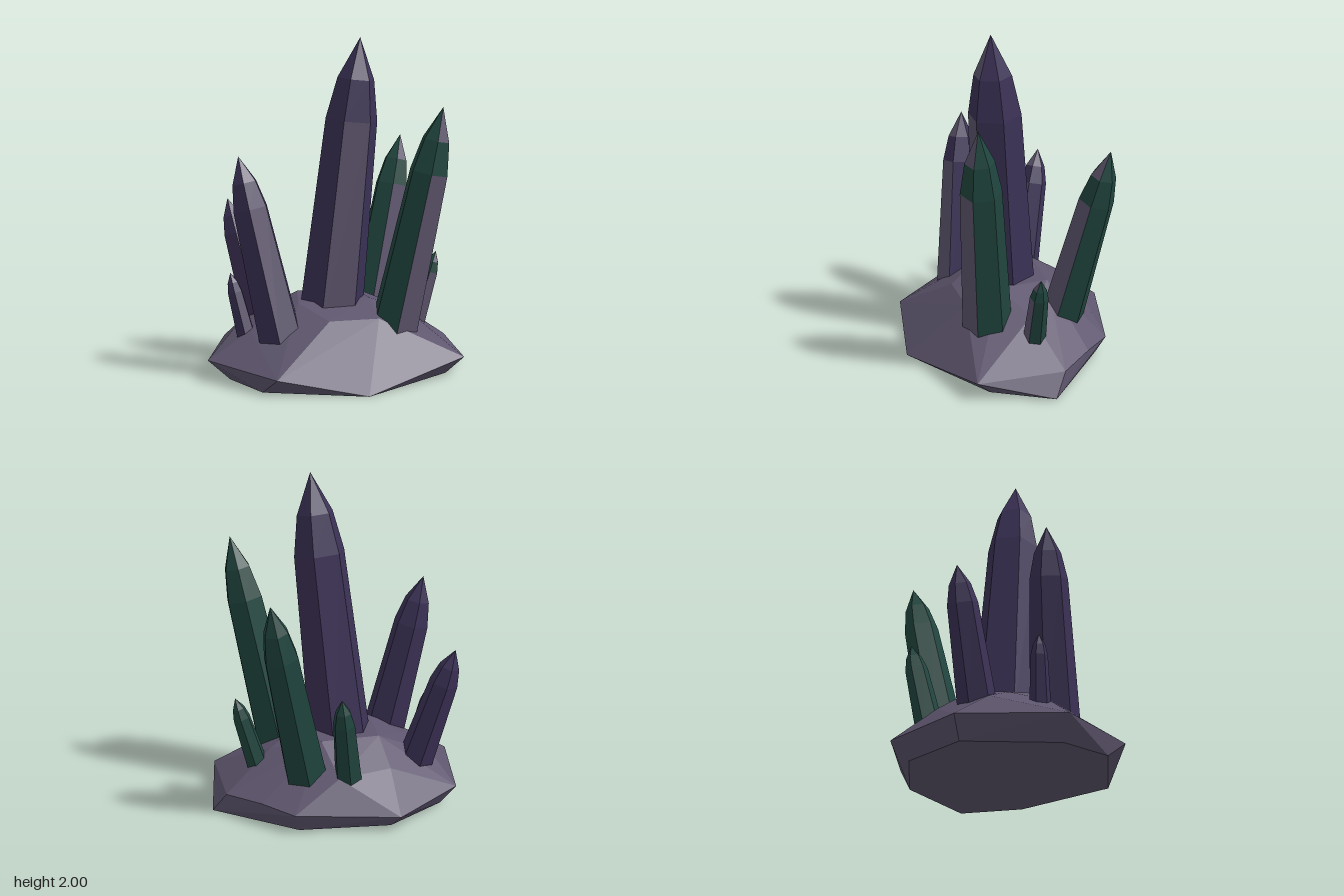
import * as THREE from 'three';
import { ConvexGeometry } from 'three/addons/geometries/ConvexGeometry.js';

const material = (color) => new THREE.MeshStandardMaterial({ color, flatShading: true });
const rockMat = material(0x5e566e);
const purpleMat = material(0x3c3257);
const greenMat = material(0x21463f);

const V = (p) => new THREE.Vector3(...p);

// Crystal outline: [fraction of the length, fraction of the base radius]
const PROFILE = [[-0.07, 1], [0.7, 0.79], [0.85, 0.56], [1, 0]];
const SIDES = 6;

function facetMesh(points, mat, name) {
  const geometry = new THREE.BufferGeometry().setFromPoints(points);
  geometry.computeVertexNormals();
  const mesh = new THREE.Mesh(geometry, mat);
  mesh.name = name;
  return mesh;
}

// Six-sided leaning crystal; one side facet and the tip facet above it are stone coloured
function crystal({ name, base, tip, radius, turn, mat }) {
  const from = V(base);
  const axis = V(tip).sub(from);
  const length = axis.length();
  const point = ([t, r], i) => {
    const a = THREE.MathUtils.degToRad(turn) + (i / SIDES) * Math.PI * 2;
    return new THREE.Vector3(Math.cos(a) * r * radius, t * length, Math.sin(a) * r * radius);
  };

  const coloured = [], stone = [];
  for (let k = 0; k < PROFILE.length - 1; k++) {
    for (let i = 0; i < SIDES; i++) {
      const target = i === 0 && k !== 1 ? stone : coloured;
      const a = point(PROFILE[k], i + 1), b = point(PROFILE[k], i);
      const c = point(PROFILE[k + 1], i), d = point(PROFILE[k + 1], i + 1);
      target.push(a, b, c);
      if (PROFILE[k + 1][1] > 0) target.push(a, c, d);
    }
  }
  // Closed foot
  const foot = new THREE.Vector3(0, PROFILE[0][0] * length, 0);
  for (let i = 0; i < SIDES; i++) coloured.push(foot, point(PROFILE[0], i), point(PROFILE[0], i + 1));

  const group = new THREE.Group();
  group.name = name;
  group.add(facetMesh(coloured, mat, name + 'Facets'), facetMesh(stone, rockMat, name + 'StoneFacets'));
  group.position.copy(from);
  group.quaternion.setFromUnitVectors(new THREE.Vector3(0, 1, 0), axis.normalize());
  return group;
}

// Corner points of the faceted rock, from the ground up
const ROCK = [
  // ground outline
  [-0.68, 0, 0.15], [-0.54, 0, 0.45], [0.03, 0, 0.67], [0.6, 0, 0.32],
  [0.8, 0, -0.02], [0.38, 0, -0.44], [-0.15, 0, -0.56], [-0.55, 0, -0.38],
  // widest rim
  [-0.81, 0.12, 0.14], [-0.48, 0.1, 0.58], [0.68, 0.12, 0.42], [0.73, 0.13, -0.1],
  [0.57, 0.14, -0.31], [0.42, 0.12, -0.49], [-0.17, 0.1, -0.67], [-0.4, 0.12, -0.5], [-0.63, 0.12, -0.43],
  // shoulders
  [-0.55, 0.28, 0.12], [-0.12, 0.36, 0.33], [0.18, 0.36, 0.33], [0.42, 0.35, 0],
  [0.13, 0.29, -0.44], [-0.2, 0.3, -0.42], [-0.55, 0.27, -0.22],
  // crown
  [-0.26, 0.43, 0.12], [0.18, 0.44, 0.12], [0.16, 0.435, -0.2], [-0.2, 0.43, -0.22], [-0.41, 0.36, -0.07],
];

const CRYSTALS = [
  { name: 'centralCrystal', base: [-0.03, 0.4, 0.02], tip: [0.11, 2, 0.14], radius: 0.2, turn: 60, mat: purpleMat },
  { name: 'frontLeftCrystal', base: [0.31, 0.33, 0.24], tip: [0.55, 1.6, 0.36], radius: 0.15, turn: 40, mat: greenMat },
  { name: 'backLeftCrystal', base: [0.29, 0.32, -0.27], tip: [0.53, 1.38, -0.43], radius: 0.135, turn: 40, mat: greenMat },
  { name: 'frontRightCrystal', base: [-0.4, 0.3, 0.2], tip: [-0.61, 1.315, 0.1], radius: 0.14, turn: 42, mat: purpleMat },
  { name: 'backRightCrystal', base: [-0.44, 0.29, -0.26], tip: [-0.6, 1.0, -0.42], radius: 0.11, turn: 40, mat: purpleMat },
  { name: 'smallBackCrystal', base: [0.06, 0.27, -0.4], tip: [0.14, 0.81, -0.51], radius: 0.085, turn: 40, mat: greenMat },
  { name: 'smallLeftCrystal', base: [0.51, 0.27, 0.01], tip: [0.63, 0.69, 0.02], radius: 0.068, turn: 50, mat: greenMat },
  { name: 'smallRightCrystal', base: [-0.57, 0.24, 0.06], tip: [-0.655, 0.615, 0.03], radius: 0.06, turn: 40, mat: purpleMat },
];

export function createModel() {
  const model = new THREE.Group();
  model.name = 'crystalCluster';

  const rock = new THREE.Mesh(new ConvexGeometry(ROCK.map(V)), rockMat);
  rock.name = 'rockBase';
  model.add(rock);

  CRYSTALS.forEach((c) => model.add(crystal(c)));
  return model;
}
